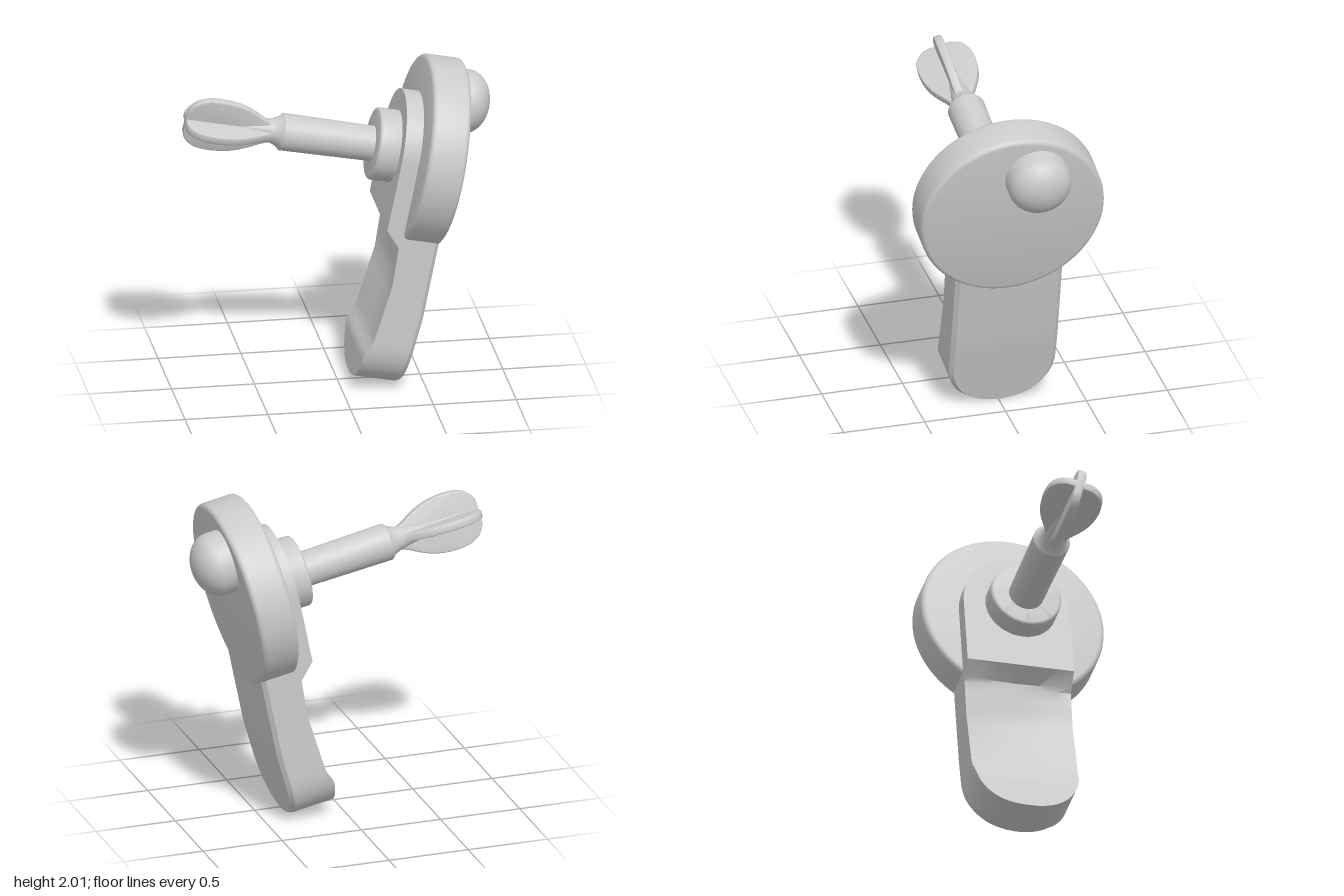
import * as THREE from 'three';
import { toCreasedNormals } from 'three/addons/utils/BufferGeometryUtils.js';

const material = new THREE.MeshStandardMaterial({ color: 0xcccccc });

function addMesh(parent, name, geometry, crease = 0.6) {
  const mesh = new THREE.Mesh(toCreasedNormals(geometry, crease), material);
  mesh.name = name;
  parent.add(mesh);
  return mesh;
}

// Turned part about the local x axis; profile is [x, radius] from back to front.
function turned(profile, segments = 64) {
  const points = profile.map(([x, r]) => new THREE.Vector2(r, x));
  return new THREE.LatheGeometry(points, segments).rotateZ(-Math.PI / 2);
}

// Disc profile with softened rims.
function discProfile(back, front, r, bevel) {
  const points = [[back, 0]];
  for (let i = 0; i <= 4; i++) {
    const a = (i / 4) * Math.PI / 2;
    points.push([back + bevel * (1 - Math.cos(a)), r - bevel * (1 - Math.sin(a))]);
  }
  for (let i = 0; i <= 4; i++) {
    const a = (i / 4) * Math.PI / 2;
    points.push([front - bevel * (1 - Math.sin(a)), r - bevel * (1 - Math.cos(a))]);
  }
  points.push([front, 0]);
  return points;
}

// Piecewise linear lookup in ascending [position, value] pairs.
function lookup(table, t) {
  if (t <= table[0][0]) return table[0][1];
  for (let i = 1; i < table.length; i++) {
    const [t0, a] = table[i - 1], [t1, b] = table[i];
    if (t <= t1) return a + (b - a) * (t - t0) / (t1 - t0);
  }
  return table[table.length - 1][1];
}

// Long slab with an arched top, rounded foot and a scooped-out back.
function handleGeometry() {
  const top = 0.34, foot = -1.45, footStart = -1.13, half = 0.33;
  const front = [[foot, -0.045], [-0.96, -0.01]];
  const rim = [[-1.24, -0.32], [-1.15, -0.28], [-0.77, -0.24], [-0.53, -0.25], [-0.43, -0.34]];
  const middle = [[-1.24, -0.32], [-1.17, -0.28], [-0.77, -0.2], [-0.5, -0.24], [-0.43, -0.34]];

  const width = (v) => {
    if (v > 0) return half * Math.sqrt(Math.max(0, 1 - (v / top) ** 2));
    if (v > footStart) return half;
    const t = Math.min(1, (footStart - v) / (footStart - foot));
    return half * Math.pow(1 - Math.pow(t, 2.4), 1 / 2.4);
  };

  const stations = [];
  for (let i = 0; i <= 16; i++) {
    stations.push(foot + (footStart - foot) * (1 - Math.cos((i / 16) * Math.PI / 2)));
  }
  stations.push(-1.05, -0.96, -0.86, -0.77, -0.68, -0.6, -0.53, -0.5, -0.43, -0.3, -0.15);
  for (let i = 0; i <= 16; i++) stations.push(top * Math.sin((i / 16) * Math.PI / 2));

  const backSteps = [-1, -0.75, -0.4, 0, 0.4, 0.75, 1];
  const positions = [], index = [];
  let count = 0;
  for (const v of stations) {
    const w = width(v), f = lookup(front, v), b = lookup(rim, v), m = lookup(middle, v);
    const c = Math.min(0.025, w);
    const ring = [[f - c, w], [f, w - c], [f, c - w], [f - c, -w]];
    for (const s of backSteps) ring.push([b + (m - b) * (1 - s * s), s * w]);
    count = ring.length;
    for (const [x, z] of ring) positions.push(x, v, z);
  }
  for (let i = 0; i < stations.length - 1; i++) {
    for (let j = 0; j < count; j++) {
      const k = (j + 1) % count;
      const a = i * count + j, b = i * count + k;
      index.push(a, b, b + count, a, b + count, a + count);
    }
  }
  const geometry = new THREE.BufferGeometry();
  geometry.setAttribute('position', new THREE.Float32BufferAttribute(positions, 3));
  geometry.setIndex(index);
  geometry.computeVertexNormals();
  return geometry;
}

// Leaf-shaped plate forming two opposite fins.
function finGeometry() {
  const shape = new THREE.Shape();
  shape.moveTo(-1.07, 0.05);
  shape.bezierCurveTo(-1.18, 0.06, -1.22, 0.16, -1.43, 0.165);
  shape.bezierCurveTo(-1.55, 0.165, -1.59, 0.13, -1.61, 0.07);
  shape.lineTo(-1.61, -0.07);
  shape.bezierCurveTo(-1.59, -0.13, -1.55, -0.165, -1.43, -0.165);
  shape.bezierCurveTo(-1.22, -0.16, -1.18, -0.06, -1.07, -0.05);
  shape.closePath();
  const geometry = new THREE.ExtrudeGeometry(shape, {
    depth: 0.03, bevelEnabled: true, bevelThickness: 0.012, bevelSize: 0.012,
    bevelSegments: 2, curveSegments: 14,
  });
  return geometry.translate(0, 0, -0.015);
}

export function createModel() {
  const model = new THREE.Group();
  model.name = 'dartBadge';

  // Everything shares one tilted axis through the disc
  const body = new THREE.Group();
  body.name = 'tiltedBody';
  body.position.set(0.67, 1.415, 0);
  body.rotation.z = -0.2;
  model.add(body);

  addMesh(body, 'disc', turned(discProfile(-0.235, 0, 0.567, 0.03), 96));
  addMesh(body, 'handle', handleGeometry()).position.z = -0.008;
  addMesh(body, 'collar', turned(discProfile(-0.472, -0.3, 0.218, 0.018))).position.z = 0.015;

  // Domed knob on the face
  const knob = [[-0.05, 0.193], [0.07, 0.193]];
  for (let i = 1; i <= 12; i++) {
    const a = (i / 12) * Math.PI / 2;
    knob.push([0.07 + 0.143 * Math.sin(a), 0.193 * Math.cos(a)]);
  }
  addMesh(body, 'knob', turned(knob)).position.set(0, 0.287, -0.13);

  // Dart shaft with a narrowing neck
  const shaft = [
    [-1.61, 0], [-1.61, 0.03], [-1.3, 0.04], [-1.16, 0.06], [-1.09, 0.075],
    [-1.055, 0.09], [-1.03, 0.113], [-0.42, 0.106], [-0.42, 0],
  ];
  addMesh(body, 'dartShaft', turned(shaft, 40)).position.set(0, -0.003, 0.012);

  // Crossed fins
  for (let i = 0; i < 2; i++) {
    const fin = addMesh(body, 'dartFins', finGeometry());
    fin.rotation.x = 0.25 + i * Math.PI / 2;
    fin.position.set(0, -0.01, 0.02);
  }
  return model;
}
